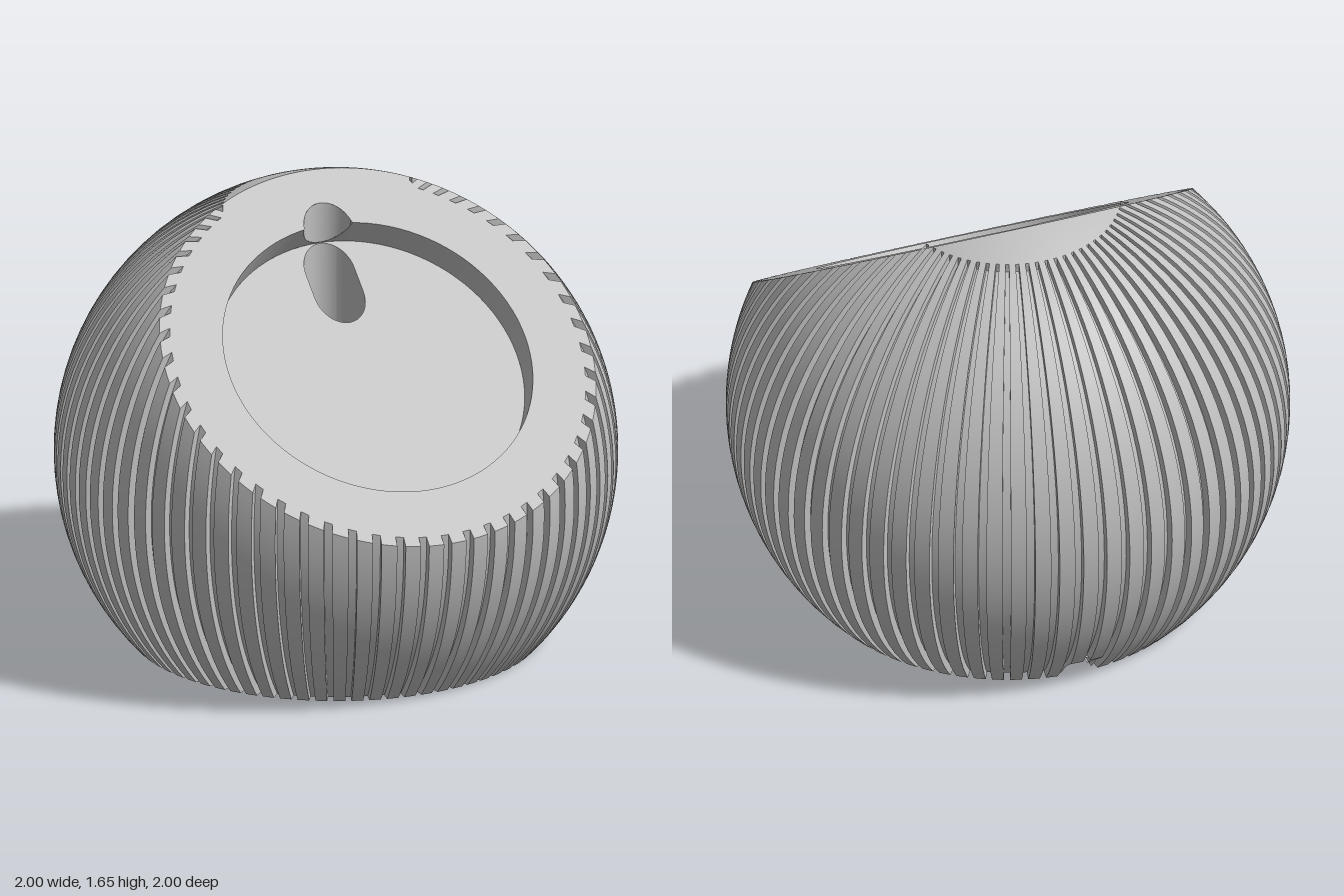
import * as THREE from 'three';
import { toCreasedNormals } from 'three/addons/utils/BufferGeometryUtils.js';

const CY = 0.68;                       // height of the sphere's centre
const OUT = 1, IN = 0.97;              // rib and groove radii
const RIBS = 72, PITCH = Math.PI * 2 / RIBS, HALF = PITCH * 0.175;
const CAP = 0.4;                       // radius of the smooth cap on top
const TILT = Math.atan2(1.26, 0.99);   // slanted face
const SN = Math.sin(TILT), CS = Math.cos(TILT), DIST = 0.603;
const FACE = new THREE.Vector3(0, CY + DIST * SN, DIST * CS);
const DISH = 0.567, DEPTH = 0.12;      // round recess
const SR = 0.093, ZB = -0.052, ZF = 0.027; // cable slot
const STEP = Math.PI / 24, CH = 5, CHW = SR * Math.sin(CH * STEP), CHH = 0.12; // cable channel

const V = (x, y, z) => new THREE.Vector3(x, y, z);

// Skin between neighbouring columns of points
function loft(cols) {
  const pos = [];
  const tri = (a, b, c) => {
    const area = b.clone().sub(a).cross(c.clone().sub(a)).length();
    if (area > 1e-9) pos.push(...a.toArray(), ...b.toArray(), ...c.toArray());
  };
  for (let i = 0; i + 1 < cols.length; i++) {
    for (let j = 0; j + 1 < cols[i].length; j++) {
      const a = cols[i][j], b = cols[i + 1][j], c = cols[i + 1][j + 1], d = cols[i][j + 1];
      tri(a, b, c);
      tri(a, c, d);
    }
  }
  const g = new THREE.BufferGeometry();
  g.setAttribute('position', new THREE.Float32BufferAttribute(pos, 3));
  return toCreasedNormals(g, 0.6);
}

const onSphere = (r, phi, th) =>
  V(r * Math.cos(phi) * Math.sin(th), CY + r * Math.sin(phi), r * Math.cos(phi) * Math.cos(th));

// Latitude where a meridian meets the slanted face
function faceLat(r, th) {
  const b = CS * Math.cos(th);
  return Math.asin(DIST / (r * Math.hypot(SN, b))) - Math.atan2(b, SN);
}

// Point on the slanted face (u across, v up the slope, s below the face)
const onFace = (u, v, s = 0) => V(u, FACE.y + v * CS - s * SN, FACE.z - v * SN - s * CS);
const faceY = (z, s = 0) => FACE.y - ((z - FACE.z) * CS + s) / SN;

export function createModel() {
  const group = new THREE.Group();
  const grey = new THREE.MeshStandardMaterial({ color: 0xbfbfbf, side: THREE.DoubleSide });
  grey.name = 'grey';
  const add = (name, geo) => {
    const m = new THREE.Mesh(geo, grey);
    m.name = name;
    group.add(m);
  };

  // Ribbed outline, starting at the back
  const ring = [];
  for (let k = 0; k < RIBS; k++) {
    const t = Math.PI + k * PITCH;
    ring.push([t - HALF, IN], [t + HALF, IN], [t + HALF, OUT], [t + PITCH / 2, OUT], [t + PITCH - HALF, OUT]);
  }
  ring.push(ring[0]);

  // Ribbed body, smooth cap, and the outlines they leave on the flat faces
  const body = [], cap = [], rim = [], foot = [];
  for (const [th, r] of ring) {
    const off = Math.abs(Math.atan2(Math.sin(th - Math.PI), Math.cos(th - Math.PI)));
    const inChannel = off < 0.073 && !(r === IN && off > 0.06);
    const low = Math.asin(((inChannel ? CHH : 0) - CY) / r);
    const cut = faceLat(r, th), capLat = Math.acos(CAP / r);
    const capped = cut > capLat;
    const high = capped ? capLat : cut;
    const col = [];
    for (let j = 0; j <= 28; j++) col.push(onSphere(r, low + (high - low) * j / 28, th));
    body.push(col);
    const top = col[28], capCol = [top];
    const c0 = Math.acos(CAP / OUT), c1 = Math.max(c0, faceLat(OUT, th));
    for (let j = 0; j <= 6; j++) capCol.push(capped ? onSphere(OUT, c0 + (c1 - c0) * j / 6, th) : top);
    cap.push(capCol);
    const e = capCol[7];
    rim.push(new THREE.Vector2(e.x, (e.y - FACE.y) * CS - (e.z - FACE.z) * SN));
    if (!inChannel) foot.push(new THREE.Vector2(col[0].x, col[0].z));
  }
  add('ribbedBody', loft(body));
  add('smoothCap', loft(cap));
  rim.pop();

  // Slot outline, starting at the back
  const slot = [];
  for (let i = 0; i <= 48; i++) {
    const b = i * STEP, x = SR * Math.sin(b), c = SR * Math.cos(b);
    if (i === 36) slot.push([x, ZF - c]);
    slot.push([x, (i <= 12 || i >= 36 ? ZB : ZF) - c]);
    if (i === 12) slot.push([x, ZF - c]);
  }

  // Slanted face, opened for the recess and the slot behind it
  const angles = [];
  for (let i = 0; i <= 60; i++) angles.push(-0.2 + 0.4 * i / 60);
  for (let i = 1; i <= 90; i++) angles.push(0.2 + (Math.PI * 2 - 0.4) * i / 90);
  const opening = angles.slice(0, -1).map((a) => {
    // far crossing of this ray with the slot's rounded end
    const sx = Math.sin(a), sz = -SN * Math.cos(a), dz = FACE.z - ZB;
    const A = sx * sx + sz * sz, B = sz * dz, D = B * B - A * (dz * dz - SR * SR);
    const t = D > 0 && Math.cos(a) > 0 ? Math.max(DISH, (-B + Math.sqrt(D)) / A) : DISH;
    return new THREE.Vector2(t * sx, t * Math.cos(a));
  });
  const faceShape = new THREE.Shape(rim);
  faceShape.holes.push(new THREE.Path(opening));
  const place = (shape, s) => {
    const o = onFace(0, 0, s);
    return new THREE.ShapeGeometry(shape, 48).rotateX(-TILT).translate(o.x, o.y, o.z);
  };
  add('slantedFace', place(faceShape, 0));

  // Recess floor with the slot through it
  const floor = new THREE.Shape().absarc(0, 0, DISH, 0, Math.PI * 2);
  const floorZ = onFace(0, 0, DEPTH).z;
  floor.holes.push(new THREE.Path(slot.slice(0, -1).map(([x, z]) => new THREE.Vector2(x, (floorZ - z) / SN))));
  add('recessFloor', place(floor, DEPTH));

  // Recess wall, lower where the slot breaks through it
  add('recessWall', loft(angles.map((a) => {
    const u = DISH * Math.sin(a), v = DISH * Math.cos(a);
    let s = 0;
    if (v > 0 && Math.abs(u) < SR) {
      const back = ZB - Math.sqrt(SR * SR - u * u);
      s = THREE.MathUtils.clamp((FACE.z - v * SN - back) / CS, 0, DEPTH);
    }
    return [onFace(u, v, DEPTH), onFace(u, v, s)];
  })));

  // Slot wall below the recess, skipping the channel mouth
  const last = slot.length - 1;
  const wall = (pts, base) => loft(pts.map(([x, z]) => [V(x, base, z), V(x, faceY(z, DEPTH), z)]));
  const mouth = [...slot.slice(last - CH, last), ...slot.slice(0, CH + 1)];
  add('slotWall', wall(slot.slice(CH, last - CH + 1), 0));
  add('slotWallAboveChannel', wall(mouth, CHH));

  // Slot wall above the recess edge
  const upper = [...slot.slice(last - 12, last), ...slot.slice(0, 13)].map(([x, z]) => {
    const edge = FACE.z - SN * Math.sqrt(DISH * DISH - x * x);
    const s = (edge - z) / CS;
    const y = faceY(z);
    return s > 0 ? [V(x, FACE.y + (FACE.z - edge) / SN * CS - s * SN, z), V(x, y, z)] : null;
  }).filter(Boolean);
  add('slotUpperWall', loft(upper));

  // Cable channel leading out of the back
  add('channelCeiling', loft(mouth.map(([x, z]) => [V(x, CHH, z), V(x, CHH, -0.81)])));
  const mz = slot[CH][1];
  for (const side of [-1, 1]) {
    const x = side * CHW;
    const cols = [[V(x, 0, mz), V(x, CHH, mz)], [V(x, 0, -0.715), V(x, CHH, -0.81)]];
    add('channelWall', loft(side < 0 ? cols.reverse() : cols));
  }

  // Flat underside, notched by the channel and slot
  const notch = slot.slice(CH, last - CH + 1).map(([x, z]) => new THREE.Vector2(x, z));
  add('underside', new THREE.ShapeGeometry(new THREE.Shape([...foot, ...notch])).rotateX(Math.PI / 2));

  return group;
}
